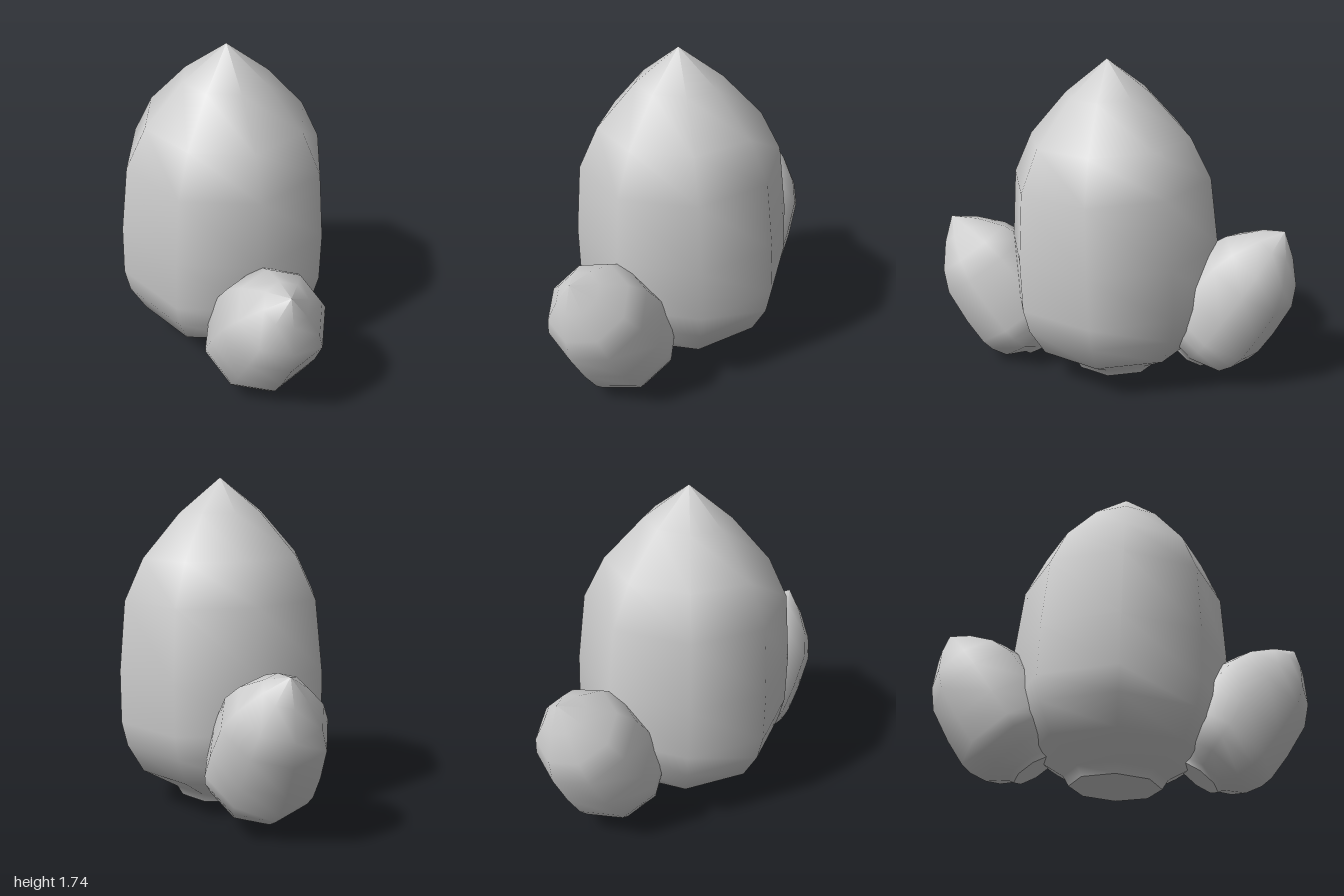
import * as THREE from 'three';

const SIDES = 8;

// Bud outline from the base rim to the pointed tip: radius, height
const PROFILE = [
  [0.24, 0], [0.27, 0.05], [0.46, 0.16], [0.545, 0.31], [0.575, 0.44],
  [0.575, 0.72], [0.54, 1.09], [0.435, 1.31], [0.23, 1.54], [0, 1.72],
].map(([r, y]) => new THREE.Vector2(r, y));

export function createModel() {
  const model = new THREE.Group();
  model.name = 'budCluster';

  const grey = new THREE.MeshStandardMaterial({ color: 0xcccccc });
  grey.name = 'pale grey';

  const shell = new THREE.LatheGeometry(PROFILE, SIDES);
  const cap = new THREE.CircleGeometry(PROFILE[0].x, SIDES).rotateX(Math.PI / 2);

  // One bud: smooth eight-sided shell with a flat closed base
  function addBud(name, y, z, tilt, scale) {
    const bud = new THREE.Group();
    bud.name = name;
    const side = new THREE.Mesh(shell, grey);
    side.name = name + 'Shell';
    const base = new THREE.Mesh(cap, grey);
    base.name = name + 'Base';
    bud.add(side, base);
    bud.position.set(0, y, z);
    bud.rotation.x = tilt;
    bud.scale.setScalar(scale);
    model.add(bud);
  }

  addBud('mainBody', 0.02, -0.02, 0.036, 1);
  addBud('frontBud', 0.073, 0.405, 0.65, 0.522);
  addBud('backBud', 0.113, -0.435, -0.57, 0.522);

  return model;
}
